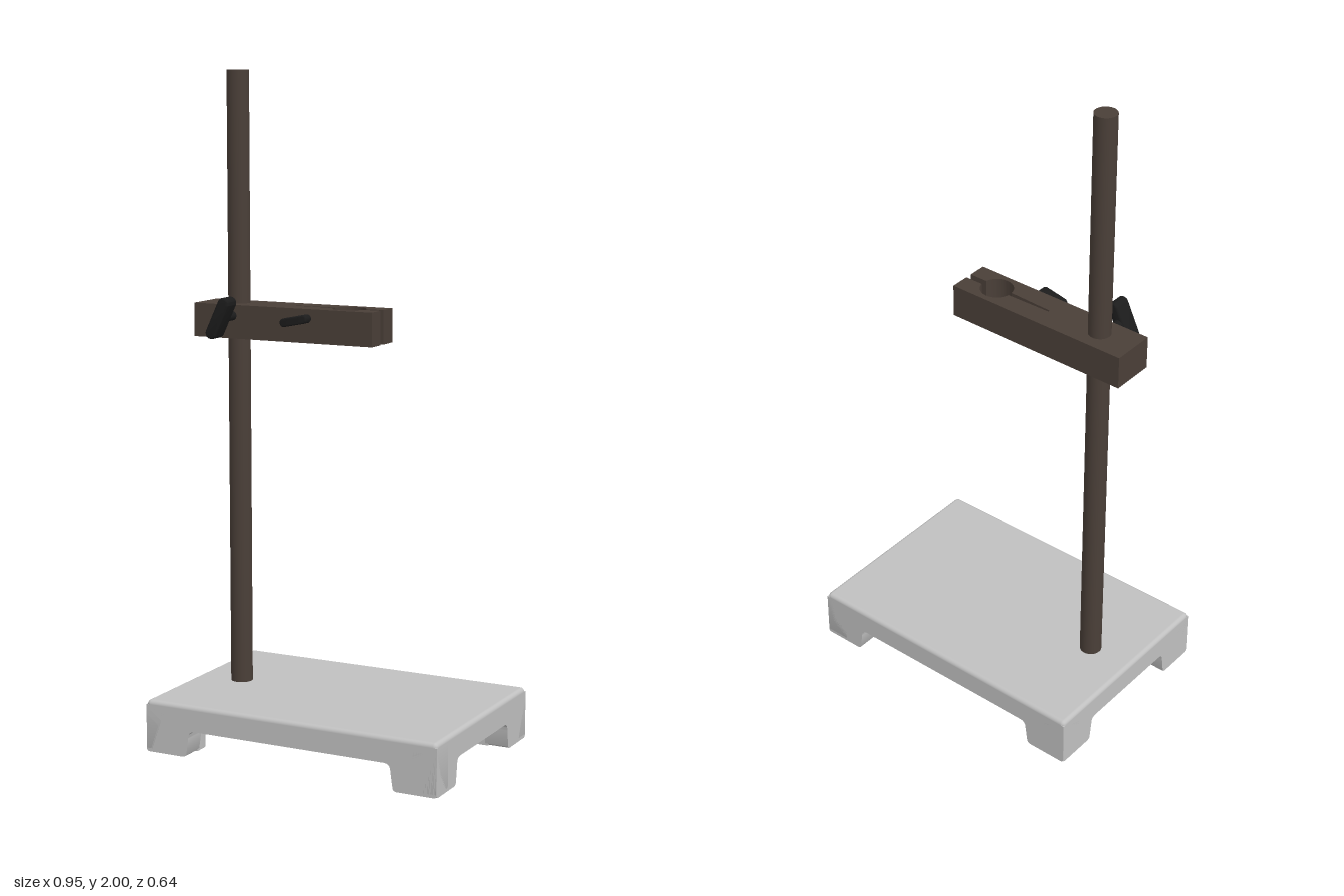
import * as THREE from 'three';
import { toCreasedNormals } from 'three/addons/utils/BufferGeometryUtils.js';
import { RoundedBoxGeometry } from 'three/addons/geometries/RoundedBoxGeometry.js';

const material = (name, color) => {
  const m = new THREE.MeshStandardMaterial({ color });
  m.name = name;
  return m;
};

function extrude(shape, depth, bevel = 0) {
  const g = new THREE.ExtrudeGeometry(shape, {
    depth: depth - 2 * bevel, curveSegments: 16, bevelEnabled: bevel > 0,
    bevelSize: bevel, bevelThickness: bevel, bevelOffset: -bevel, bevelSegments: 3,
  });
  g.translate(0, 0, bevel);
  return toCreasedNormals(g, 0.6);
}

// Bridge outline: two feet joined by a beam, with filleted inner corners
function bridgeShape(half, inner, top, beam) {
  const f = 0.022, r = 0.01;
  const s = new THREE.Shape();
  s.moveTo(-half, top);
  s.lineTo(-half, r);
  s.quadraticCurveTo(-half, 0, -half + r, 0);
  s.lineTo(-inner - 0.012 - r, 0);
  s.quadraticCurveTo(-inner - 0.008, 0, -inner - 0.007, r);
  s.lineTo(-inner, beam - f);
  s.quadraticCurveTo(-inner, beam, -inner + f, beam);
  s.lineTo(inner - f, beam);
  s.quadraticCurveTo(inner, beam, inner, beam - f);
  s.lineTo(inner + 0.007, r);
  s.quadraticCurveTo(inner + 0.008, 0, inner + 0.012 + r, 0);
  s.lineTo(half - r, 0);
  s.quadraticCurveTo(half, 0, half, r);
  s.lineTo(half, top);
  return s;
}

export function createModel() {
  const model = new THREE.Group();
  model.name = 'clampStand';
  const grey = material('light grey', 0xc0c0c0);
  const brown = material('dark brown', 0x4a3f38);
  const black = material('black', 0x1c1c1c);

  const add = (parent, name, geometry, mat, x = 0, y = 0, z = 0) => {
    const m = new THREE.Mesh(geometry, mat);
    m.name = name;
    m.position.set(x, y, z);
    parent.add(m);
    return m;
  };

  // Base: top slab over a hollow underside
  const W = 0.473, D = 0.32, wall = 0.075, rim = 0.144;
  const base = new THREE.Group();
  base.name = 'base';
  model.add(base);
  add(base, 'baseTop', new RoundedBoxGeometry(2 * W, 0.045, 2 * D, 4, 0.013), grey, 0, 0.1345, 0);

  // Skirt walls with feet
  const longWall = extrude(bridgeShape(W, 0.33, rim, 0.08), wall);
  const shortWall = extrude(bridgeShape(D, 0.182, rim, 0.08), wall);
  for (const back of [0, 1]) {
    const sign = back ? -1 : 1;
    add(base, 'longSkirt', longWall, grey, 0, 0, sign * (D - wall)).rotation.y = back * Math.PI;
    add(base, 'shortSkirt', shortWall, grey, sign * (W - wall), 0, 0).rotation.y = sign * Math.PI / 2;
  }

  // Inner corner of each foot, rounded
  for (const sx of [-1, 1]) for (const sz of [-1, 1]) {
    const x0 = sx * (W - wall + 0.01), x1 = sx * 0.338;
    const y0 = sz * (D - wall + 0.01), y1 = sz * 0.19, r = 0.03;
    const s = new THREE.Shape();
    s.moveTo(x0, y0);
    s.lineTo(x1, y0);
    s.lineTo(x1, y1 + sz * r);
    s.quadraticCurveTo(x1, y1, x1 + sx * r, y1);
    s.lineTo(x0, y1);
    const foot = extrude(s, 0.125);
    foot.rotateX(-Math.PI / 2);
    add(base, 'footCore', foot, grey);
  }

  // Upright rod
  const rodX = -0.33, rodBottom = 0.13;
  add(model, 'rod', new THREE.CylinderGeometry(0.033, 0.033, 2 - rodBottom, 32), brown,
    rodX, (2 + rodBottom) / 2, 0);

  // Clamp arm: bar with a round jaw, an open mouth and a tapered relief slit
  const hx = 0.037, hr = 0.05, slit = 0.007, mouth = 0.01;
  const a = Math.asin(mouth / hr), b = Math.asin(slit / hr);
  const arm = new THREE.Shape();
  arm.moveTo(0.143, mouth);
  arm.lineTo(0.143, 0.068);
  arm.lineTo(-0.447, 0.068);
  arm.lineTo(-0.447, -0.065);
  arm.lineTo(0.143, -0.065);
  arm.lineTo(0.143, -mouth);
  arm.absarc(hx, 0, hr, -a, -Math.PI + b, true);
  arm.lineTo(-0.153, -0.002);
  arm.lineTo(-0.153, 0.004);
  arm.absarc(hx, 0, hr, Math.PI - b, a, true);
  const armGeometry = extrude(arm, 0.1);
  armGeometry.rotateX(-Math.PI / 2);
  add(model, 'clampArm', armGeometry, brown, 0, 1.215, 0);

  // Thumbscrews: round shank and a flat wing
  function thumbscrew(name, x, length, thickness, depth, z, shank, angle) {
    const g = new THREE.Group();
    g.name = name;
    g.position.set(x, 1.283, 0);
    g.rotation.z = angle;
    model.add(g);
    const h = length / 2, r = thickness / 2;
    const s = new THREE.Shape();
    s.absarc(h - r, 0, r, -Math.PI / 2, Math.PI / 2, false);
    s.absarc(-h + r, 0, r, Math.PI / 2, Math.PI * 1.5, false);
    add(g, 'wing', extrude(s, depth, 0.006), black, 0, 0, z);
    const reach = z + 0.01 - 0.055;
    const pin = new THREE.CylinderGeometry(shank, shank, reach, 20);
    pin.rotateX(Math.PI / 2);
    add(g, 'shank', pin, black, 0, 0, 0.055 + reach / 2);
    const collar = new THREE.CylinderGeometry(shank * 0.8, shank * 1.2, 0.012, 20);
    collar.rotateX(-Math.PI / 2);
    add(g, 'collar', collar, black, 0, 0, z - 0.002);
  }
  thumbscrew('rodThumbscrew', -0.317, 0.132, 0.036, 0.055, 0.104, 0.014, 1.13);
  thumbscrew('jawThumbscrew', -0.089, 0.09, 0.025, 0.036, 0.079, 0.011, 0.2);

  return model;
}
